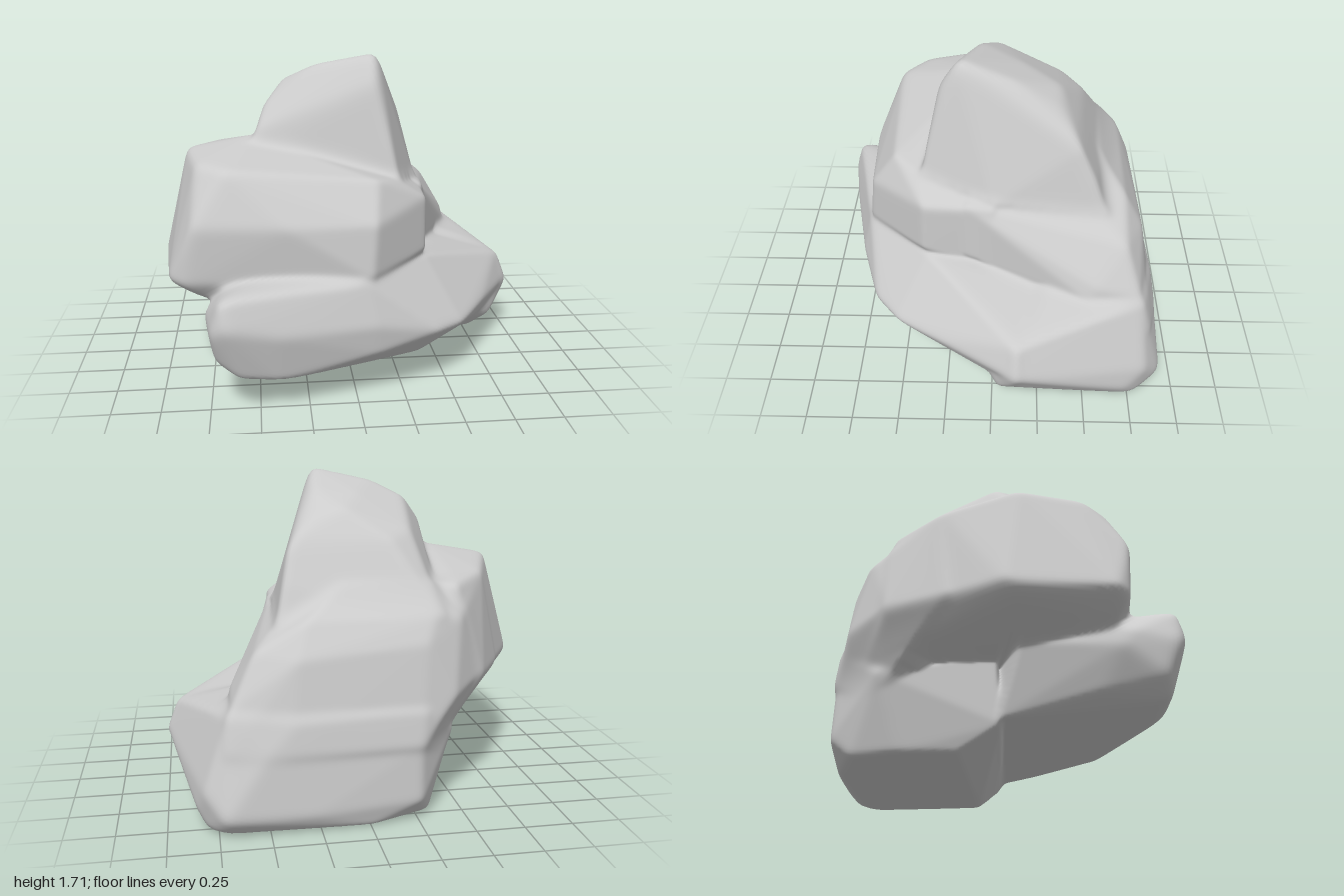
import * as THREE from 'three';
import { ConvexGeometry } from 'three/addons/geometries/ConvexGeometry.js';
import { mergeVertices } from 'three/addons/utils/BufferGeometryUtils.js';

const HEART = new THREE.Vector3(0, 0.48, -0.05); // point inside the rock that sees its whole skin
const BLEND = 0.06; // softness of the valleys between masses

// Flat foot under the back half
const foot = [
  [0.8, 0, -0.78], [0.7, 0, -0.84], [0, 0, -0.85], [-0.32, 0.01, -0.74], [-0.39, 0.01, -0.5], [-0.39, 0.01, -0.2],
  [0.78, 0.01, -0.13], [-0.44, 0.14, 0.02], [-0.26, 0.12, -0.86], [0.3, 0.1, -0.91], [0.72, 0.1, -0.93],
  [0.86, 0.1, -0.72], [0.88, 0.14, 0], [1, 0.32, -0.13], [0.82, 0.22, -0.83], [0.5, 0.42, -0.89],
  [-0.25, 0.4, -0.85], [-0.48, 0.4, -0.6], [0.93, 0.5, -0.13], [0.69, 0.6, -0.79], [0.35, 0.57, -0.86],
  [-0.28, 0.58, -0.82], [-0.45, 0.5, 0], [0.55, 0.62, -0.3], [0, 0.62, -0.3],
];

// Low slab jutting out at the front
const frontSlab = [
  [-0.6, 0.19, 0.83], [-0.4, 0.17, 0.82], [0.33, 0.17, 0.54], [0.68, 0.17, 0.18], [0.88, 0.16, -0.1],
  [-0.45, 0.16, 0], [-0.65, 0.23, 0.5], [-0.72, 0.28, 0.8],
  [-0.74, 0.45, 0.87], [-0.66, 0.49, 0.92], [-0.77, 0.5, 0.64], [-0.77, 0.42, 0.6], [-0.4, 0.43, 0.88],
  [0.1, 0.27, 0.75], [0.1, 0.42, 0.77], [0.44, 0.34, 0.66], [0.58, 0.33, 0.54], [0.75, 0.35, 0.28], [1, 0.32, -0.13],
  [-0.68, 0.65, 0.87], [-0.35, 0.65, 0.8], [0.05, 0.64, 0.72], [0.4, 0.66, 0.36], [0.93, 0.5, -0.13],
  [0.55, 0.59, -0.25], [-0.6, 0.5, 0.1],
];

// Overhanging boulder at the right front
const sideBoulder = [
  [-0.86, 1.22, 0.1], [-0.8, 1.2, 0.42], [-0.65, 1.19, 0.56], [0.12, 1.12, 0.54], [0.24, 1.09, 0.4],
  [0.4, 0.98, 0.37], [0.42, 0.98, 0], [-0.72, 1.18, -0.28], [-0.5, 1.15, -0.55], [-0.52, 1.28, 0.1],
  [-0.82, 0.92, 0.65], [-0.35, 0.92, 0.7], [0.1, 0.92, 0.68],
  [-1, 0.64, 0.04], [-0.95, 0.63, 0.57], [-0.87, 0.62, 0.63], [0.08, 0.65, 0.71], [0.4, 0.68, 0.38], [0.42, 0.6, 0],
  [-0.97, 0.59, 0.1], [-0.76, 0.52, 0.56], [-0.7, 0.54, -0.3], [-0.65, 0.65, -0.55], [-0.4, 0.45, -0.65],
];

// Rear body linking the foot with the summit
const rearBody = [
  [0.68, 0.6, -0.5], [0.67, 0.67, -0.55], [0.68, 0.62, -0.78], [0.56, 0.87, -0.7], [0.44, 0.98, -0.55],
  [0.35, 0.85, -0.8], [-0.3, 0.9, -0.77], [-0.35, 1.02, -0.71], [0.3, 1.02, -0.7], [-0.5, 1, -0.65],
  [-0.35, 1.16, -0.56], [0.1, 1.16, -0.56], [-0.7, 1.14, -0.28], [-0.83, 0.64, -0.22],
  [-0.65, 0.68, -0.55], [-0.45, 0.62, -0.77], [-0.28, 0.6, -0.81], [0.35, 0.68, -0.82],
  [0.4, 0.66, 0.15], [0.4, 0.99, 0.15], [0.48, 0.6, -0.05], [-0.4, 0.3, -0.6],
  [-0.26, 0.4, -0.85], [0.4, 0.4, -0.88], [0.7, 0.4, -0.84],
];

// Pointed summit
const summit = [
  [0.15, 1.73, 0.19], [-0.17, 1.66, 0.08], [-0.34, 1.57, -0.02], [-0.45, 1.44, 0.08], [-0.5, 1.31, 0.19],
  [0.13, 1.57, 0.29], [0.22, 1.2, 0.37], [0.25, 1.08, 0.39], [0.18, 1.63, -0.1], [-0.05, 1.6, -0.16],
  [0.2, 1.5, -0.34], [0.05, 1.53, -0.35], [0.31, 1.4, -0.42], [0.36, 1.34, -0.45], [-0.3, 1.42, -0.36],
  [-0.17, 1.38, -0.48], [0.39, 1.17, -0.53], [0, 1.18, -0.56], [-0.36, 1.17, -0.55], [0.44, 0.97, -0.6],
  [-0.4, 1, -0.69], [0.4, 1, 0], [-0.52, 1.15, 0.22],
];

// Bounding planes of one mass, seen from the heart
function planesOf(corners) {
  const points = corners.map((c) => new THREE.Vector3(...c).sub(HEART));
  const { position, normal } = new ConvexGeometry([...points, new THREE.Vector3()]).attributes;
  const planes = [];
  for (let i = 0; i < position.count; i += 3) {
    const n = new THREE.Vector3().fromBufferAttribute(normal, i);
    const p = new THREE.Vector3().fromBufferAttribute(position, i);
    planes.push({ n, d: Math.max(0, n.dot(p)) });
  }
  return planes;
}

// Distance from the heart to the surface of a mass along a direction
function reach(planes, dir) {
  let r = 3;
  for (const { n, d } of planes) {
    const slope = n.dot(dir);
    if (slope > 1e-5) r = Math.min(r, d / slope);
  }
  return r;
}

function smoothMax(a, b) {
  const h = Math.max(BLEND - Math.abs(a - b), 0) / BLEND;
  return Math.max(a, b) + h * h * BLEND * 0.25;
}

// Wears the skin down a little: each point moves halfway to its neighbours' average
function weather(skin) {
  const p = skin.attributes.position.array;
  const sum = new Float32Array(p.length);
  const count = new Uint16Array(p.length / 3);
  const index = skin.index.array;
  for (let i = 0; i < index.length; i++) {
    const a = index[i];
    const b = index[i % 3 === 2 ? i - 2 : i + 1];
    for (let k = 0; k < 3; k++) sum[a * 3 + k] += p[b * 3 + k];
    count[a]++;
  }
  for (let i = 0; i < p.length; i++) p[i] = (p[i] + sum[i] / count[Math.floor(i / 3)]) / 2;
}

export function createModel() {
  const masses = [foot, frontSlab, sideBoulder, rearBody, summit].map(planesOf);

  // One continuous skin: a fine ball pushed out to the blended masses
  let skin = new THREE.IcosahedronGeometry(1, 60);
  skin.deleteAttribute('normal');
  skin.deleteAttribute('uv');
  skin = mergeVertices(skin, 1e-5);
  const position = skin.attributes.position;
  const dir = new THREE.Vector3();
  for (let i = 0; i < position.count; i++) {
    dir.fromBufferAttribute(position, i).normalize();
    const r = masses.map((planes) => reach(planes, dir)).reduce(smoothMax);
    dir.multiplyScalar(r).add(HEART);
    position.setXYZ(i, dir.x, Math.max(0, dir.y), dir.z);
  }
  for (let pass = 0; pass < 4; pass++) weather(skin);
  skin.computeVertexNormals();

  const boulder = new THREE.Mesh(skin, new THREE.MeshStandardMaterial({ color: 0xcccccc }));
  boulder.name = 'boulder';
  const rock = new THREE.Group();
  rock.name = 'rock';
  rock.add(boulder);
  return rock;
}
